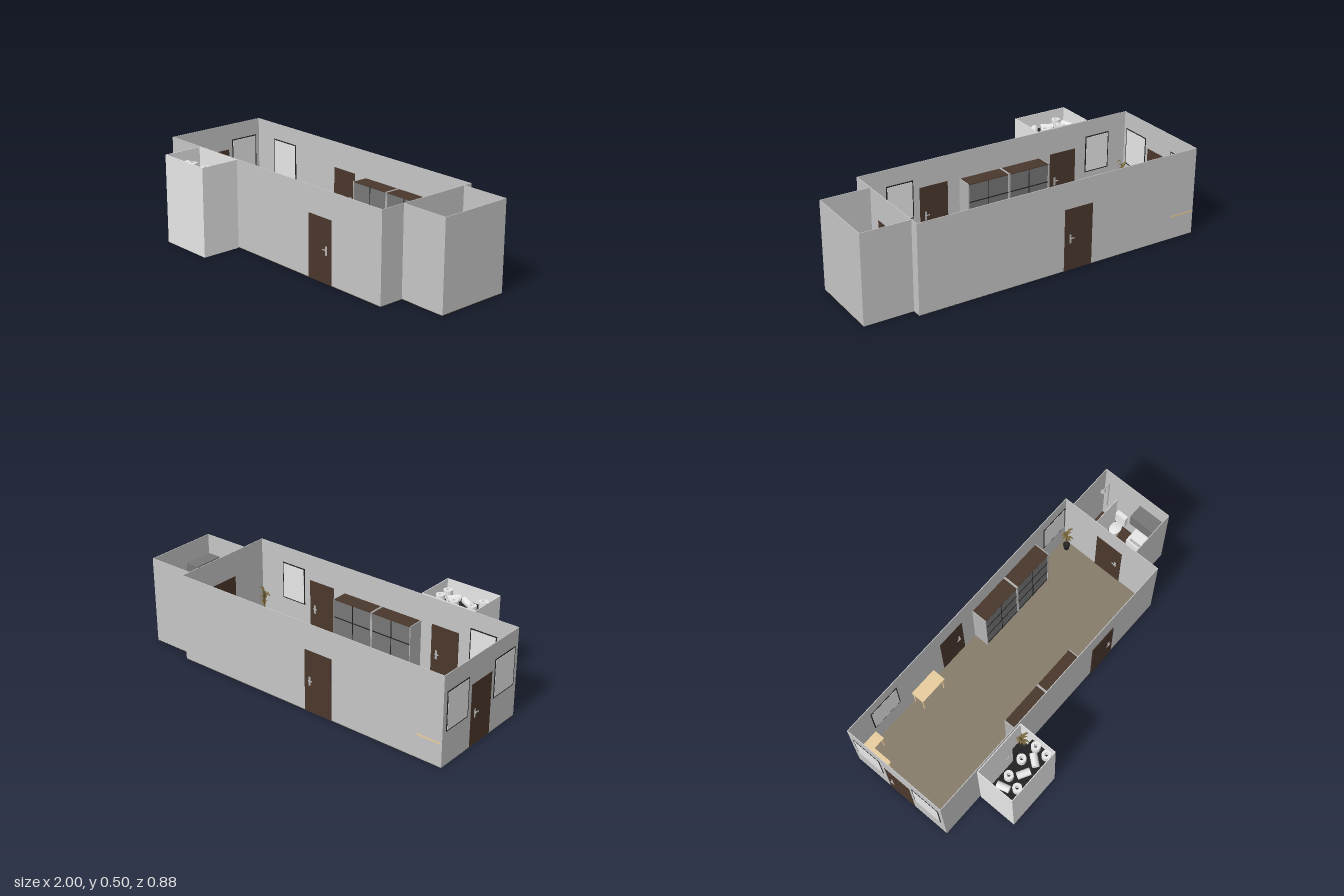
import * as THREE from 'three';

const mat = (name, color, side = THREE.FrontSide) => {
  const m = new THREE.MeshStandardMaterial({ color, side });
  m.name = name;
  return m;
};

export function createModel() {
  const M = {
    wall: mat('grey wall', 0xc6c6c6),
    white: mat('white', 0xfafafa),
    floor: mat('taupe floor', 0x877c6b),
    brown: mat('dark brown wood', 0x4a372c),
    cream: mat('pale wood', 0xeacfa0),
    black: mat('black', 0x222222),
    grey: mat('mid grey', 0x777777),
    metal: mat('metal', 0xb4b4b4),
    leaf: mat('olive leaf', 0x7d6c40, THREE.DoubleSide),
  };
  const model = new THREE.Group();
  model.name = 'building';

  const add = (parent, name, geo, m, x = 0, y = 0, z = 0) => {
    const mesh = new THREE.Mesh(geo, m);
    mesh.name = name;
    mesh.position.set(x, y, z);
    parent.add(mesh);
    return mesh;
  };
  // box given by its extents
  const box = (parent, name, m, x0, x1, y0, y1, z0, z1) =>
    add(parent, name, new THREE.BoxGeometry(x1 - x0, y1 - y0, z1 - z0), m,
      (x0 + x1) / 2, (y0 + y1) / 2, (z0 + z1) / 2);
  const group = (name, x = 0, y = 0, z = 0, ry = 0) => {
    const g = new THREE.Group();
    g.name = name;
    g.position.set(x, y, z);
    g.rotation.y = ry;
    model.add(g);
    return g;
  };

  // open-topped rooms
  const H = 0.505, T = 0.004;
  const room = (name, wallMat, floorMat, x0, x1, z0, z1, sides) => {
    const g = group(name);
    box(g, 'floor', floorMat, x0, x1, 0, 0.003, z0, z1);
    if (sides.includes('L')) box(g, 'leftWall', wallMat, x1 - T, x1, 0.001, H, z0, z1);
    if (sides.includes('R')) box(g, 'rightWall', wallMat, x0, x0 + T, 0.001, H, z0, z1);
    if (sides.includes('F')) box(g, 'frontWall', wallMat, x0, x1, 0.001, H, z1 - T, z1);
    if (sides.includes('B')) box(g, 'backWall', wallMat, x0, x1, 0.001, H, z0, z0 + T);
  };
  room('mainRoom', M.wall, M.floor, -0.99, 0.722, -0.43, 0.202, 'LRFB');
  room('washroom', M.wall, M.brown, 0.722, 1, -0.378, 0.055, 'LFB');
  room('storeRoom', M.white, M.white, -0.725, -0.392, 0.208, 0.44, 'LRFB');

  // doors: width along local x, faces along local z
  const door = (name, x, z, ry, handleSide, w = 0.172) => {
    const g = group(name, x, 0, z, ry);
    box(g, 'doorLeaf', M.brown, -w / 2, w / 2, 0.002, 0.355, -0.0045, 0.0045);
    const hx = handleSide * 0.052;
    for (const s of [-1, 1]) {
      add(g, 'handlePlate', new THREE.BoxGeometry(0.012, 0.05, 0.003), M.metal, hx, 0.183, s * 0.0055);
      add(g, 'handleStem', new THREE.CylinderGeometry(0.003, 0.003, 0.009, 8), M.metal, hx, 0.188, s * 0.009)
        .rotation.x = Math.PI / 2;
      add(g, 'handleLever', new THREE.BoxGeometry(0.026, 0.005, 0.004), M.metal, hx - handleSide * 0.008, 0.188, s * 0.012);
    }
  };
  door('frontDoor', 0.276, 0.202, 0, 1);
  door('storeDoor', -0.555, 0.202, 0, 1);
  door('backDoor', -0.224, -0.43, 0, 1);
  door('endDoor', -0.987, -0.11, Math.PI / 2, 1);
  door('washroomDoor', 0.72, -0.115, Math.PI / 2, -1);

  // windows: thin dark frame with a pale pane on both faces
  const win = (name, x, z, ry, w, depth) => {
    const g = group(name, x, 0.3, z, ry);
    box(g, 'windowFrame', M.black, -w / 2, w / 2, -0.11, 0.11, -depth / 2, depth / 2);
    const d = depth / 2 + 0.001;
    box(g, 'windowPane', M.white, -w / 2 + 0.006, w / 2 - 0.006, -0.104, 0.104, -d, d);
  };
  win('endWindowBack', -0.988, -0.312, Math.PI / 2, 0.18, 0.008);
  win('endWindowFront', -0.988, 0.088, Math.PI / 2, 0.18, 0.008);
  win('backWindowRight', -0.74, -0.425, 0, 0.196, 0.004);
  win('backWindowLeft', 0.62, -0.425, 0, 0.18, 0.004);
  win('frontWindowLeft', 0.48, 0.197, 0, 0.16, 0.004);
  win('frontWindowRight', -0.79, 0.197, 0, 0.16, 0.004);

  // pairs of open cabinets, open toward local +z
  const cabinets = (name, x, z, ry) => {
    const pair = group(name, x, 0, z, ry);
    for (const s of [-1, 1]) {
      const g = new THREE.Group();
      g.name = 'cabinet';
      g.position.x = s * 0.13;
      pair.add(g);
      box(g, 'cabinetBody', M.grey, -0.124, 0.124, 0.003, 0.346, -0.046, 0.042);
      box(g, 'cabinetTop', M.brown, -0.124, 0.124, 0.346, 0.35, -0.046, 0.046);
      for (const e of [-1, 1])
        add(g, 'sidePanel', new THREE.BoxGeometry(0.005, 0.349, 0.094), M.metal, e * 0.1265, 0.1765, 0);
      for (const y of [0.02, 0.13, 0.24])
        box(g, 'shelfEdge', M.black, -0.124, 0.124, y, y + 0.005, 0.042, 0.045);
      box(g, 'middlePost', M.black, -0.002, 0.002, 0.003, 0.346, 0.042, 0.044);
    }
  };
  cabinets('backCabinets', 0.206, -0.379, 0);
  cabinets('frontCabinets', -0.142, 0.151, Math.PI);

  // pale wooden tables
  const table = (name, tops, legs) => {
    const g = group(name);
    for (const [x0, x1, z0, z1] of tops) box(g, 'tableTop', M.cream, x0, x1, 0.128, 0.138, z0, z1);
    for (const [x, z] of legs) box(g, 'tableLeg', M.cream, x - 0.004, x + 0.004, 0.003, 0.128, z - 0.004, z + 0.004);
  };
  table('cornerDesk', [[-0.985, -0.842, -0.4315, -0.367], [-0.985, -0.914, -0.367, -0.25]],
    [[-0.85, -0.375], [-0.85, -0.42], [-0.922, -0.258], [-0.978, -0.258], [-0.978, -0.42]]);
  table('sideTable', [[-0.56, -0.386, -0.424, -0.344]],
    [[-0.552, -0.352], [-0.394, -0.352], [-0.552, -0.416], [-0.394, -0.416]]);

  // potted plants with drooping leaf strips
  const leafShape = new THREE.PlaneGeometry(0.014, 0.1, 2, 5);
  const lp = leafShape.attributes.position;
  for (let i = 0; i < lp.count; i++) {
    const t = lp.getY(i) / 0.1 + 0.5;
    lp.setXYZ(i, lp.getX(i) * Math.sin(Math.PI * (0.1 + 0.85 * t)), 0.085 * Math.sin(t * 2.2), 0.036 * t * t);
  }
  leafShape.computeVertexNormals();
  const plant = (x, y, z) => {
    const g = group('plant', x, y, z);
    add(g, 'pot', new THREE.CylinderGeometry(0.02, 0.014, 0.05, 16), M.black, 0, 0.025, 0);
    add(g, 'stem', new THREE.CylinderGeometry(0.003, 0.004, 0.09, 8), M.brown, 0, 0.09, 0);
    for (let i = 0; i < 14; i++) {
      const leaf = add(g, 'leaf', leafShape, M.leaf, 0, 0.07 + (i % 4) * 0.02, 0);
      leaf.rotation.y = i * 2.4;
      leaf.scale.setScalar(0.8 + 0.15 * (i % 3));
    }
  };
  plant(-0.95, 0.003, 0.158);
  plant(0.675, 0.003, 0.158);
  plant(0.682, 0.003, -0.382);
  plant(-0.43, 0.25, 0.25);

  // store room shelf, stand and paper rolls
  const store = group('storeFittings');
  box(store, 'storeShelf', M.black, -0.72, -0.397, 0.405, 0.415, 0.29, 0.435);
  box(store, 'plantStand', M.black, -0.468, -0.397, 0.003, 0.25, 0.213, 0.29);
  const rollGeo = (r, h) => new THREE.LatheGeometry(
    [[r * 0.4, -h / 2], [r, -h / 2], [r, h / 2], [r * 0.4, h / 2], [r * 0.4, -h / 2]]
      .flatMap(([a, b], i, all) => {
        // doubled corners keep the rims sharp
        const p = new THREE.Vector2(a, b);
        return i === 0 || i === all.length - 1 ? [p] : [p, p.clone()];
      }), 24);
  const shortRoll = rollGeo(0.025, 0.045), longRoll = rollGeo(0.02, 0.07);
  for (const [x, z] of [[-0.625, 0.33], [-0.647, 0.405], [-0.518, 0.322], [-0.422, 0.335], [-0.422, 0.405]])
    add(store, 'standingRoll', shortRoll, M.white, x, 0.438, z);
  for (const [x, z, a] of [[-0.685, 0.345, 1.3], [-0.567, 0.378, 0.5], [-0.478, 0.374, -0.9]]) {
    const roll = add(store, 'lyingRoll', longRoll, M.white, x, 0.436, z);
    roll.rotation.set(0, -a, Math.PI / 2);
  }

  // washroom fittings
  const wash = group('washroomFittings');
  box(wash, 'partition', M.white, 0.765, 0.985, 0.003, 0.3, -0.276, -0.273);
  box(wash, 'toiletTank', M.white, 0.965, 0.992, 0.08, 0.17, -0.262, -0.195);
  const bowl = add(wash, 'toiletBowl', new THREE.LatheGeometry(
    [[0, 0], [0.018, 0], [0.016, 0.03], [0.032, 0.075], [0.032, 0.085], [0, 0.088]]
      .map(([a, b]) => new THREE.Vector2(a, b)), 24), M.white, 0.928, 0.003, -0.228);
  bowl.scale.x = 1.35;
  box(wash, 'vanity', M.white, 0.876, 0.994, 0.003, 0.17, -0.115, 0.02);
  box(wash, 'basin', M.metal, 0.885, 0.9, 0.17, 0.172, -0.1, 0.005);
  box(wash, 'wallCabinet', M.grey, 0.912, 0.995, 0.3, 0.39, -0.13, 0.05);
  add(wash, 'showerPipe', new THREE.CylinderGeometry(0.004, 0.004, 0.25, 10), M.metal, 0.985, 0.27, -0.34);
  add(wash, 'showerArm', new THREE.BoxGeometry(0.05, 0.006, 0.006), M.metal, 0.962, 0.395, -0.34);
  add(wash, 'showerHead', new THREE.CylinderGeometry(0.008, 0.016, 0.012, 16), M.metal, 0.935, 0.388, -0.34);

  return model;
}
